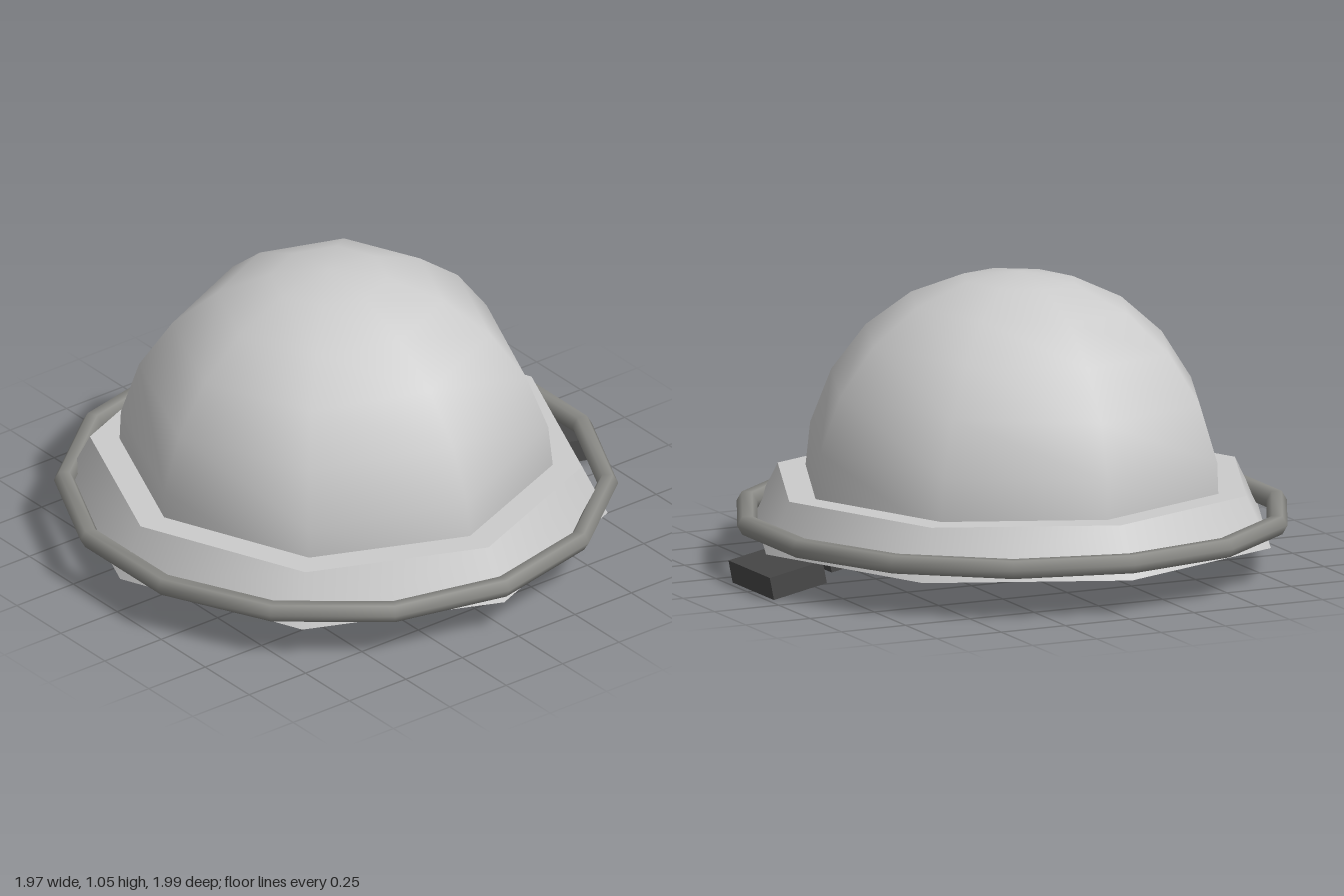
import * as THREE from 'three';

export function createModel() {
  const model = new THREE.Group();
  const shell = new THREE.MeshStandardMaterial({ color: 0xcccccc });
  const tubing = new THREE.MeshStandardMaterial({ color: 0x8c8c88 });
  const dark = new THREE.MeshStandardMaterial({ color: 0x484848 });
  const centreZ = 0.03;

  const add = (name, geometry, material, y, z, tilt = 0) => {
    const mesh = new THREE.Mesh(geometry, material);
    mesh.name = name;
    mesh.position.set(0, y, z);
    mesh.rotation.x = tilt;
    model.add(mesh);
    return mesh;
  };

  // Eight-sided smooth dome, tipped slightly forward
  add('dome', new THREE.SphereGeometry(0.77, 8, 6, 0, Math.PI * 2, 0, Math.PI * 0.52), shell, 0.28, centreZ, 0.04);

  // Flared octagonal collar with a flat underside
  add('collar', new THREE.CylinderGeometry(0.867, 0.957, 0.18, 8), shell, 0.218, centreZ);

  // Ring around the collar
  add('rimRing', new THREE.TorusGeometry(0.95, 0.037, 6, 14), tubing, 0.188, centreZ, Math.PI / 2);

  // Sloping rear bracket: wide bar, block and end tab
  const slope = -0.2;
  add('bracketBar', new THREE.BoxGeometry(0.45, 0.05, 0.06), dark, 0.146, -0.565, slope);
  add('bracketBlock', new THREE.BoxGeometry(0.36, 0.08, 0.25), dark, 0.146, -0.645, slope);
  add('rearTab', new THREE.BoxGeometry(0.33, 0.082, 0.21), dark, 0.062, -0.882, slope);

  return model;
}
